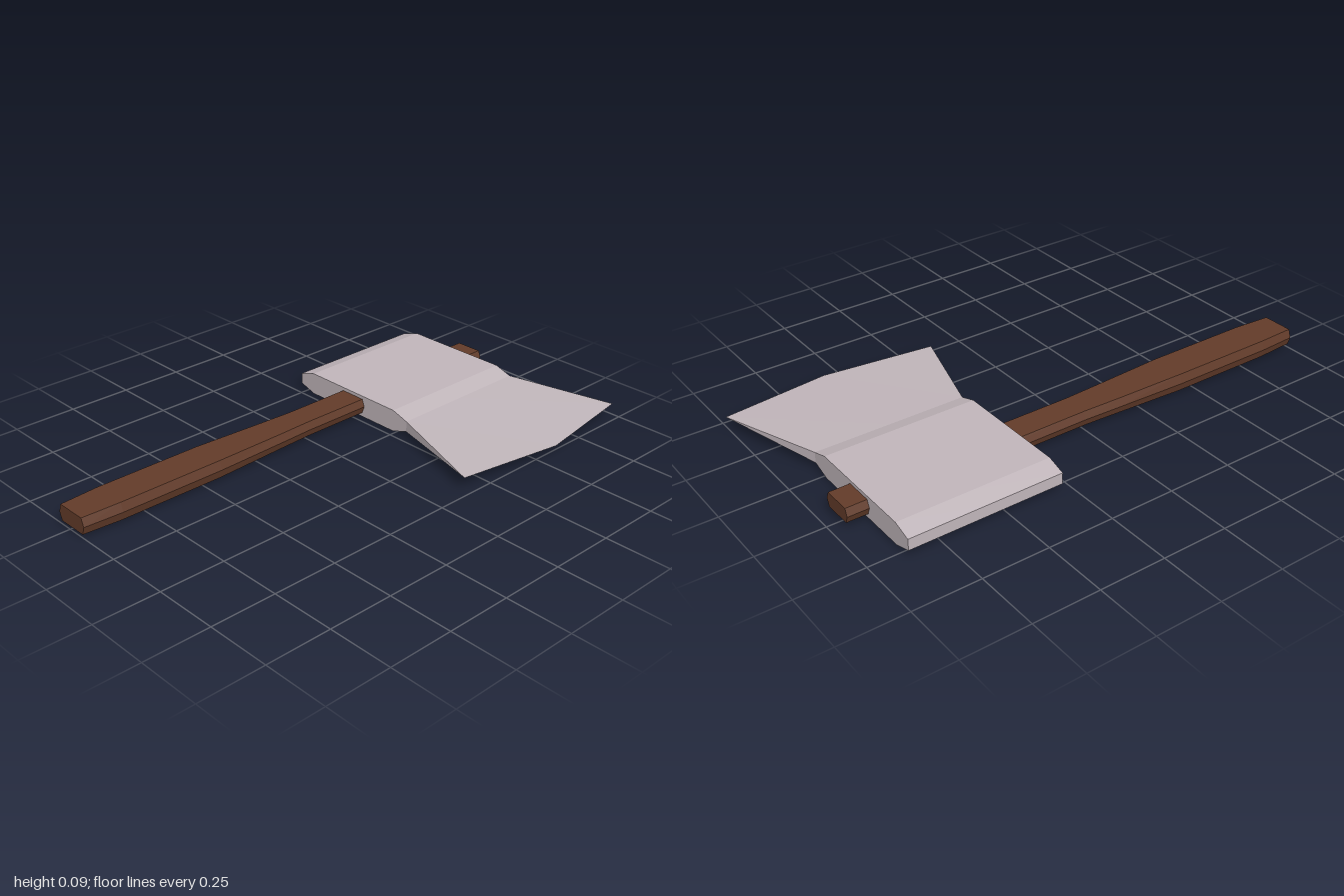
import * as THREE from 'three';

// Skin a list of equal-length rings of [x, y, z] points into a faceted solid
function loft(name, rings, color, capEnd = true) {
  const pos = [];
  const tri = (...pts) => pts.forEach((p) => pos.push(...p));
  const n = rings[0].length;
  for (let i = 0; i < rings.length - 1; i++) {
    for (let j = 0; j < n; j++) {
      const k = (j + 1) % n;
      const a = rings[i][j], b = rings[i][k], c = rings[i + 1][k], d = rings[i + 1][j];
      tri(a, d, c);
      tri(a, c, b);
    }
  }
  const first = rings[0], last = rings[rings.length - 1];
  for (let j = 1; j < n - 1; j++) {
    tri(first[0], first[j], first[j + 1]);
    if (capEnd) tri(last[0], last[j + 1], last[j]);
  }
  const geo = new THREE.BufferGeometry();
  geo.setAttribute('position', new THREE.Float32BufferAttribute(pos, 3));
  geo.computeVertexNormals();
  const mesh = new THREE.Mesh(geo, new THREE.MeshStandardMaterial({ color, flatShading: true }));
  mesh.name = name;
  return mesh;
}

export function createModel() {
  const group = new THREE.Group();
  group.name = 'axe';

  // Handle: flattened hexagon sections, [z, half width, half height]
  const hx = -0.235, hy = 0.045;
  const handleRings = [
    [-0.95, 0.065, 0.028],
    [0.0, 0.064, 0.029],
    [0.15, 0.07, 0.03],
    [0.43, 0.08, 0.034],
    [0.85, 0.08, 0.034],
    [1.0, 0.072, 0.032],
  ].map(([z, w, h]) => {
    const f = w - 0.011;
    return [[-w, 0], [-f, h], [f, h], [w, 0], [f, -h], [-f, -h]]
      .map(([x, y]) => [hx + x, hy + y, z]);
  });
  group.add(loft('handle', handleRings, 0x623b29));

  // Head: sections from the poll to the cutting edge, each with a middle point above and below
  const zf = -0.28, zm = -0.58, zb = -0.87;
  const section = (x, lo, hi, midX = x, midLo = lo) => [
    [x, hi, zf], [x, hi, zm], [x, hi, zb],
    [x, lo, zb], [midX, midLo, zm], [x, lo, zf],
  ];
  const front = [0.465, 0.044, -0.15], tip = [0.525, 0.037, -0.58], back = [0.465, 0.044, -1.0];
  const headRings = [
    section(-0.53, 0.022, 0.065),
    section(-0.46, 0, 0.087),
    section(-0.015, 0, 0.087),
    section(0.055, 0.023, 0.065, 0.13, 0.015),
    [front, tip, back, back, tip, front], // sharp edge
  ];
  group.add(loft('axeHead', headRings, 0xbfb4b9, false));

  return group;
}
